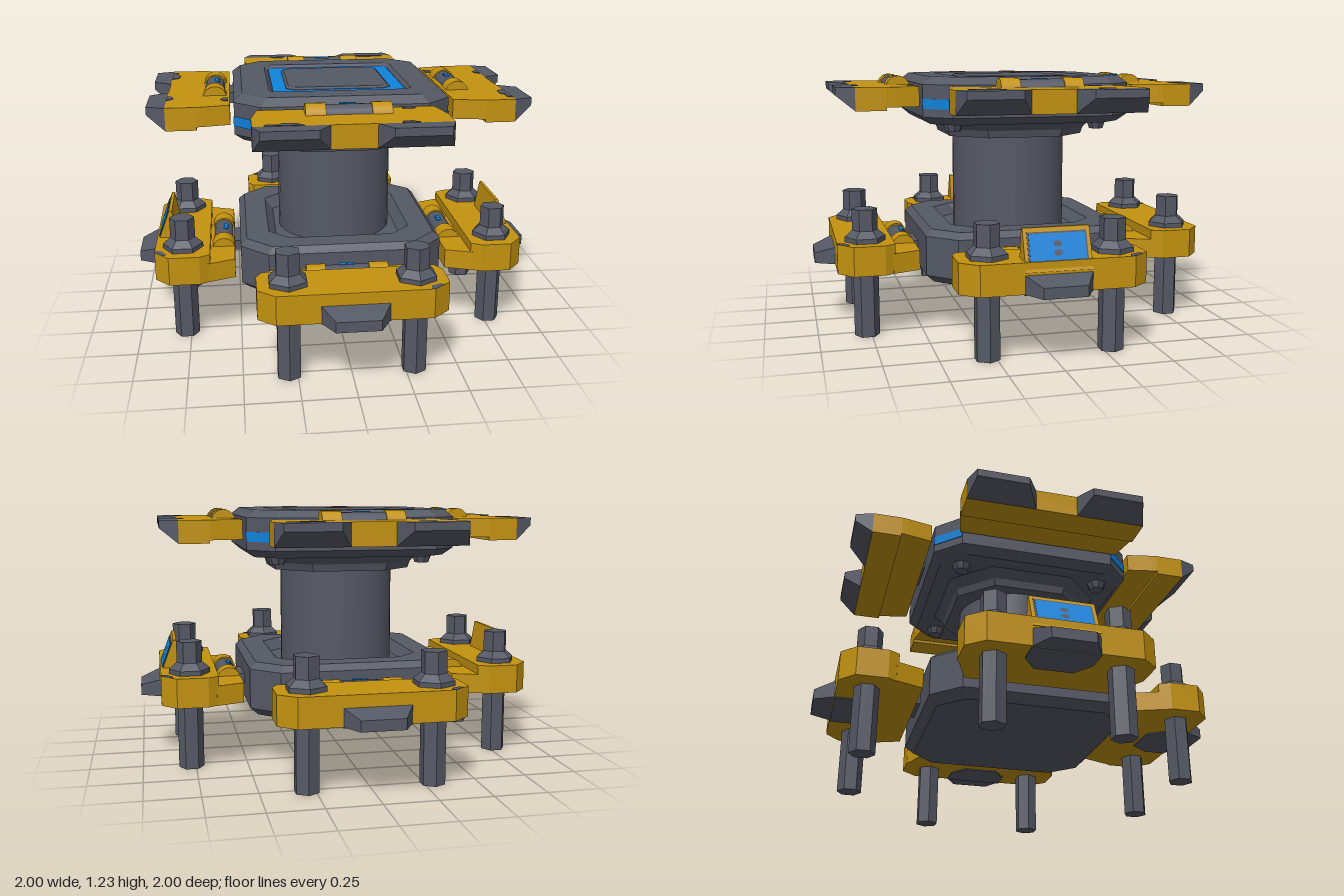
import * as THREE from 'three';
import { ConvexGeometry } from 'three/addons/geometries/ConvexGeometry.js';

const mat = (name, color) => {
  const m = new THREE.MeshStandardMaterial({ color });
  m.name = name;
  return m;
};

const add = (parent, name, geometry, material, x = 0, y = 0, z = 0) => {
  const mesh = new THREE.Mesh(geometry, material);
  mesh.name = name;
  mesh.position.set(x, y, z);
  parent.add(mesh);
  return mesh;
};

// Faceted copy of a geometry
const flat = (geometry) => {
  const g = geometry.toNonIndexed();
  g.computeVertexNormals();
  return g;
};

// Stack of chamfered squares, each [half width, chamfer, height], closed at both ends
function loft(profile) {
  const rings = profile.map(([h, c, y]) => {
    const k = h - c;
    return [[h, k], [k, h], [-k, h], [-h, k], [-h, -k], [-k, -h], [k, -h], [h, -k]]
      .map(([x, s]) => [x, y, -s]);
  });
  const out = [];
  for (let i = 0; i < rings.length - 1; i++) {
    for (let j = 0; j < 8; j++) {
      const n = (j + 1) % 8;
      const a = rings[i][j], b = rings[i][n], c = rings[i + 1][n], d = rings[i + 1][j];
      out.push(...a, ...b, ...c, ...a, ...c, ...d);
    }
  }
  const first = rings[0], last = rings[rings.length - 1];
  for (let j = 1; j < 7; j++) {
    out.push(...first[0], ...first[j + 1], ...first[j]);
    out.push(...last[0], ...last[j], ...last[j + 1]);
  }
  const g = new THREE.BufferGeometry();
  g.setAttribute('position', new THREE.Float32BufferAttribute(out, 3));
  g.computeVertexNormals();
  return g;
}

// Flat plate from [x, z] plan points between two heights
function plate(points, y0, y1) {
  const shape = new THREE.Shape(points.map(([x, z]) => new THREE.Vector2(x, -z)));
  const g = new THREE.ExtrudeGeometry(shape, { depth: y1 - y0, bevelEnabled: false });
  return g.rotateX(-Math.PI / 2).translate(0, y0, 0);
}

const mirrored = (half) => [...half, ...half.map(([x, z]) => [-x, z]).reverse()];

// Block between two upright rectangles, each [x0, x1, y0, y1, z]
const taper = (...ends) => new ConvexGeometry(ends.flatMap(([x0, x1, y0, y1, z]) =>
  [[x0, y0], [x1, y0], [x1, y1], [x0, y1]].map(([x, y]) => new THREE.Vector3(x, y, z))));

const rod = (r, length) => new THREE.CylinderGeometry(r, r, length, 20).rotateZ(Math.PI / 2);

export function createModel() {
  const yellow = mat('yellow paint', 0xc4930f);
  const grey = mat('grey metal', 0x555965);
  const blue = mat('blue light', 0x1082da);

  const model = new THREE.Group();
  model.name = 'platform';

  // Base with a sunken top, column and collar
  add(model, 'base', loft([[0.45, 0.12, 0.25], [0.49, 0.13, 0.29], [0.49, 0.13, 0.48],
    [0.46, 0.12, 0.51], [0.35, 0.1, 0.51], [0.31, 0.09, 0.46]]), grey);
  add(model, 'column', new THREE.CylinderGeometry(0.285, 0.285, 0.54, 32), grey, 0, 0.7, 0);
  add(model, 'collar', loft([[0.335, 0.16, 0.935], [0.345, 0.16, 0.97], [0.39, 0.18, 1.015]]), grey);

  // Head with a sunken light frame and centre panel
  add(model, 'head', loft([[0.46, 0.11, 1.01], [0.5, 0.118, 1.045], [0.5, 0.118, 1.195],
    [0.46, 0.11, 1.23], [0.335, 0.03, 1.23], [0.318, 0.03, 1.214]]), grey);
  add(model, 'lightFrame', loft([[0.314, 0.03, 1.21], [0.314, 0.03, 1.217]]), blue);
  add(model, 'centrePanel', loft([[0.25, 0.035, 1.21], [0.25, 0.035, 1.219], [0.238, 0.03, 1.228]]), grey);

  for (let i = 0; i < 4; i++) {
    const corner = new THREE.Group();
    corner.name = 'corner';
    corner.rotation.y = Math.PI / 4 + i * Math.PI / 2;
    model.add(corner);
    add(corner, 'cornerLight', new THREE.BoxGeometry(0.166, 0.045, 0.008), blue, 0, 1.107, 0.624);
    add(corner, 'undersideKnob', flat(new THREE.CylinderGeometry(0.05, 0.035, 0.04, 8)), grey, 0, 0.995, 0.5);
  }

  // Hinge shared by upper and lower arms
  const addHinge = (arm, y, z) => {
    for (const s of [-1, 1]) add(arm, 'hingeSleeve', rod(0.057, 0.09), yellow, s * 0.147, y, z);
    add(arm, 'hingePin', rod(0.05, 0.21), grey, 0, y, z);
    add(arm, 'hingeStub', new THREE.BoxGeometry(0.19, 0.05, 0.12), grey, 0, y - 0.02, z - 0.045);
    for (const s of [-1, 1]) {
      add(arm, 'hingeLight', new THREE.CylinderGeometry(0.02, 0.02, 0.008, 10), blue,
        s * 0.019, y + 0.049, z - 0.012).scale.z = 0.6;
    }
  };

  // Worn paint patches on the upper arm, along its outer edge and one side
  const wear = [
    [[-0.38, 0.81], [-0.37, 0.785], [-0.32, 0.79], [-0.3, 0.77], [-0.24, 0.775], [-0.21, 0.81]],
    [[0.2, 0.81], [0.21, 0.785], [0.25, 0.78], [0.28, 0.81]],
    [[0.25, 0.525], [0.25, 0.55], [0.29, 0.56], [0.31, 0.545], [0.31, 0.525]],
  ];

  for (let i = 0; i < 4; i++) {
    const arm = new THREE.Group();
    arm.name = 'armPair';
    arm.rotation.y = i * Math.PI / 2;
    model.add(arm);

    // Upper arm with two grey prongs
    add(arm, 'upperArmInner', plate(mirrored([[0.4, 0.518], [0.425, 0.64], [0.43, 0.67]]), 1.095, 1.187), yellow);
    add(arm, 'upperArmOuter', plate(mirrored([[0.43, 0.67], [0.43, 0.81]]), 1.08, 1.187), yellow);
    for (const s of [-1, 1]) {
      add(arm, 'prong', taper([s * 0.1, s * 0.43, 1.08, 1.187, 0.81],
        [s * 0.155, s * 0.4, 1.15, 1.187, 0.895]), grey);
    }
    wear.forEach((patch) => add(arm, 'wornPaint', plate(patch, 1.184, 1.19), grey));
    addHinge(arm, 1.173, 0.588);

    // Lower arm with tongue and underside panel
    add(arm, 'lowerArmInner', plate(mirrored([[0.36, 0.52], [0.41, 0.65]]), 0.32, 0.415), yellow);
    add(arm, 'lowerArmOuter', plate(mirrored([[0.4, 0.64], [0.43, 0.69], [0.43, 0.835], [0.35, 0.905]]), 0.32, 0.46), yellow);
    add(arm, 'tongue', taper([-0.155, 0.155, 0.32, 0.405, 0.9], [-0.1, 0.1, 0.32, 0.37, 1]), grey);
    add(arm, 'undersidePanel', plate(mirrored([[0.09, 0.7], [0.155, 0.79], [0.155, 0.903]]), 0.315, 0.322), grey);
    add(arm, 'lowerWornPaint', plate([[0.33, 0.905], [0.34, 0.87], [0.38, 0.85], [0.4, 0.861], [0.35, 0.905]], 0.456, 0.462), grey);
    addHinge(arm, 0.4, 0.575);

    // Six-sided legs with flared collars
    for (const s of [-1, 1]) {
      add(arm, 'leg', flat(new THREE.CylinderGeometry(0.06, 0.06, 0.615, 6)), grey, s * 0.29, 0.3075, 0.77);
      add(arm, 'legCollarBase', flat(new THREE.CylinderGeometry(0.097, 0.097, 0.025, 6)), grey, s * 0.29, 0.47, 0.77);
      add(arm, 'legCollar', flat(new THREE.CylinderGeometry(0.06, 0.097, 0.032, 6)), grey, s * 0.29, 0.498, 0.77);
    }

    // Tilted display on the two side arms
    if (i % 2 === 1) {
      add(arm, 'displayHousing', new ConvexGeometry([-0.152, 0.152].flatMap((x) =>
        [[0.415, 0.91], [0.597, 0.841], [0.597, 0.826], [0.44, 0.8], [0.415, 0.8]]
          .map(([y, z]) => new THREE.Vector3(x, y, z)))), yellow);
      const display = new THREE.Group();
      display.name = 'display';
      display.position.set(0, 0.509, 0.8745);
      display.rotation.x = -0.362;
      arm.add(display);
      add(display, 'displayBorder', new THREE.BoxGeometry(0.27, 0.148, 0.004), grey);
      add(display, 'displayScreen', new THREE.BoxGeometry(0.255, 0.132, 0.008), blue);
      for (const s of [-1, 1]) {
        add(display, 'displayMark', new THREE.CircleGeometry(0.02, 10), grey, 0, s * 0.02, 0.005).scale.y = 0.7;
      }
    }
  }
  return model;
}
